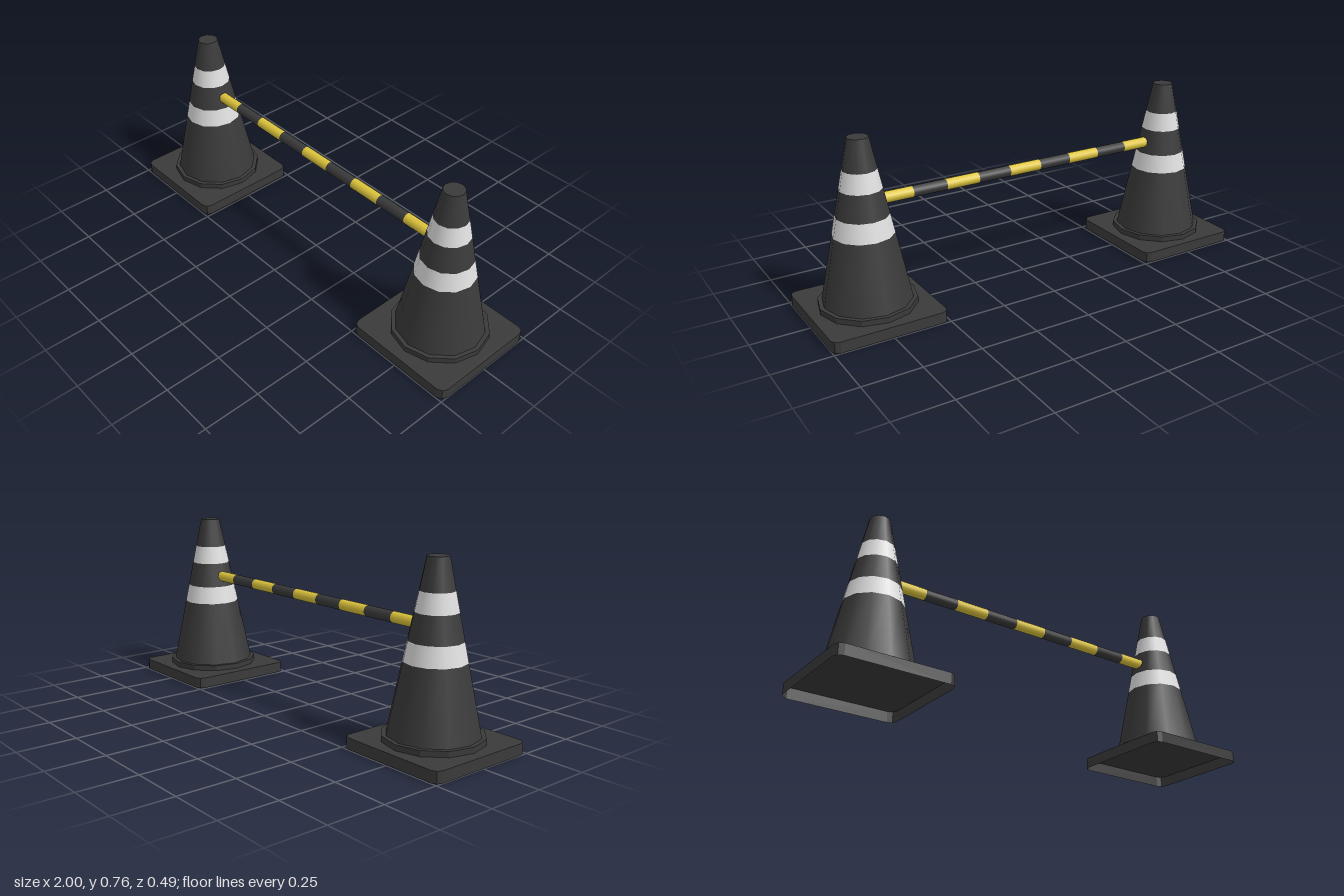
import * as THREE from 'three';

const mat = (name, color, side = THREE.FrontSide) => {
  const m = new THREE.MeshStandardMaterial({ color, side });
  m.name = name;
  return m;
};

export function createModel() {
  const rubber = mat('darkRubber', 0x3a3a3a, THREE.DoubleSide); // the feet are open underneath
  const white = mat('reflectiveWhite', 0xe0e0e0);
  const yellow = mat('barYellow', 0xdec53c);
  const Z = -0.005; // shared axis of cones and bar

  const add = (parent, name, geometry, material, x, y, z) => {
    const mesh = new THREE.Mesh(geometry, material);
    mesh.name = name;
    mesh.position.set(x, y, z);
    parent.add(mesh);
  };

  // Square foot with rounded corners: a lid and thin walls, hollow from below
  const footGeometry = () => {
    const h = 0.247, r = 0.03, s = new THREE.Shape();
    [[1, 1], [-1, 1], [-1, -1], [1, -1]].forEach(([sx, sy], i) =>
      s.absarc(sx * (h - r), sy * (h - r), r, i * Math.PI / 2, (i + 1) * Math.PI / 2, false));
    s.closePath();
    const solid = new THREE.ExtrudeGeometry(s, { depth: 0.048, bevelEnabled: false, curveSegments: 1 })
      .rotateX(-Math.PI / 2);
    // The bottom cap is the first half of the cap group; leave it out
    const skip = solid.groups[0].count / 2;
    const open = new THREE.BufferGeometry();
    for (const key of ['position', 'normal']) {
      const { array, itemSize } = solid.attributes[key];
      open.setAttribute(key, new THREE.BufferAttribute(array.slice(skip * itemSize), itemSize));
    }
    return open;
  };

  // Cone radius at a given height
  const y0 = 0.073, y1 = 0.76;
  const radiusAt = y => THREE.MathUtils.mapLinear(y, y0, y1, 0.187, 0.044);

  const makeCone = (name, x) => {
    const cone = new THREE.Group();
    cone.name = name;
    cone.position.x = x;
    add(cone, 'foot', footGeometry(), rubber, 0, 0, 0);
    const collar = new THREE.CylinderGeometry(0.205, 0.205, 0.024, 12).toNonIndexed();
    collar.computeVertexNormals();
    add(cone, 'collar', collar, rubber, 0, 0.061, Z);
    // Body stacked from alternating dark and white bands
    const levels = [y0, 0.36, 0.44, 0.55, 0.63, y1];
    for (let i = 0; i < levels.length - 1; i++) {
      const a = levels[i], b = levels[i + 1], top = i === levels.length - 2;
      add(cone, i % 2 ? 'reflectiveBand' : 'coneBody',
        new THREE.CylinderGeometry(radiusAt(b), radiusAt(a), b - a, 12, 1, !top),
        i % 2 ? white : rubber, 0, (a + b) / 2, Z);
    }
    return cone;
  };

  const model = new THREE.Group();
  model.name = 'coneBarrier';
  model.add(makeCone('leftCone', 0.753), makeCone('rightCone', -0.753));

  // Striped bar between the cones
  const bar = new THREE.Group();
  bar.name = 'stripedBar';
  const count = 9, step = 0.152;
  for (let i = 0; i < count; i++) {
    const end = i === 0 || i === count - 1;
    const geometry = new THREE.CylinderGeometry(0.024, 0.024, step, 12, 1, !end).rotateZ(Math.PI / 2);
    add(bar, 'barSection', geometry, i % 2 ? rubber : yellow, 0.003 + (i - (count - 1) / 2) * step, 0.489, Z);
  }
  model.add(bar);
  return model;
}
